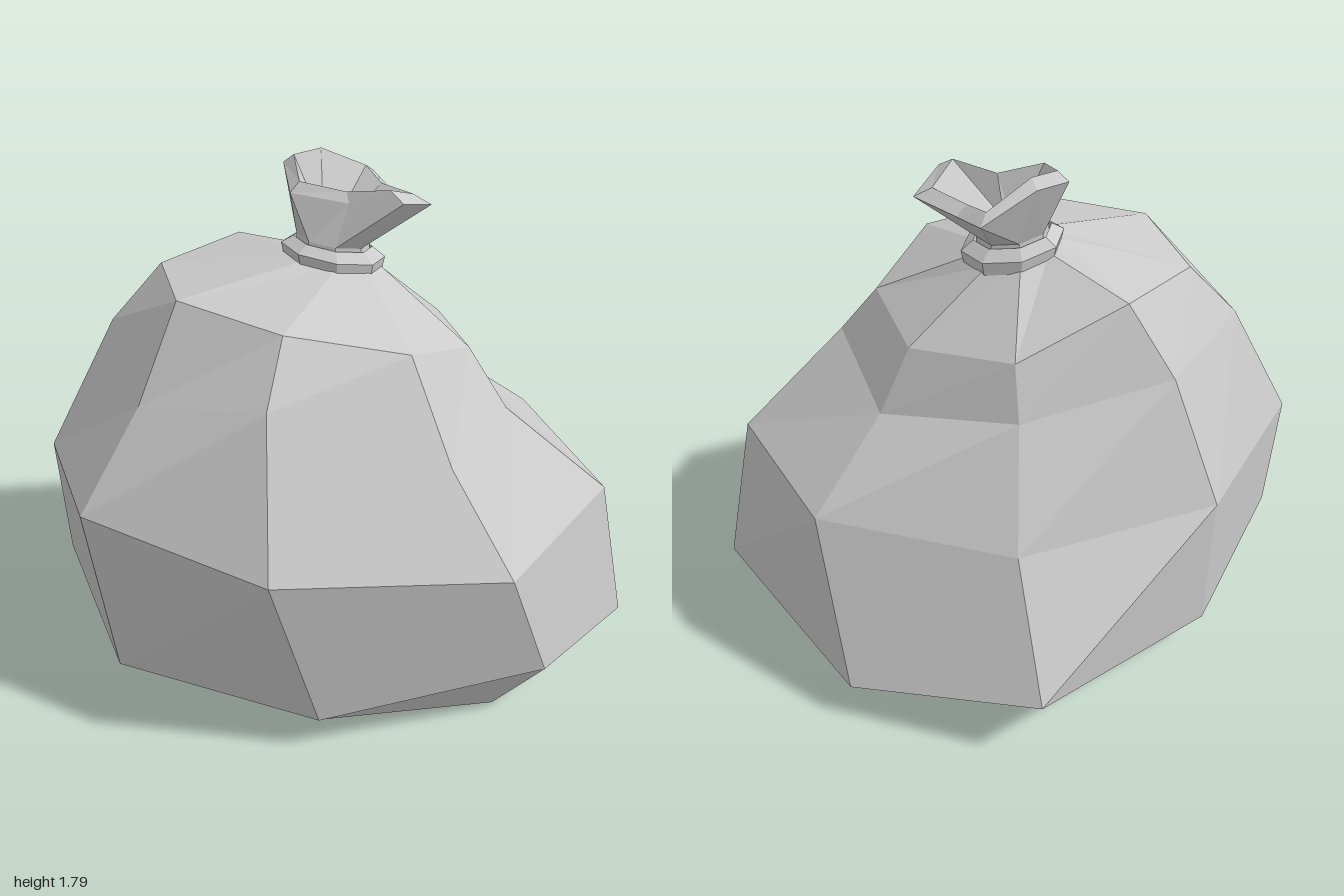
import * as THREE from 'three';

const SIDES = 8;
const material = new THREE.MeshStandardMaterial({ color: 0xcccccc, flatShading: true, side: THREE.DoubleSide });

// Skins rings of [x, y, z] points, listed from the front round towards +x.
function loft(name, rings, { capStart = false, capEnd = false, closed = false } = {}) {
  const pos = [];
  const tri = (a, b, c) => pos.push(...a, ...b, ...c);
  const centre = (ring) => [0, 1, 2].map((k) => ring.reduce((sum, p) => sum + p[k], 0) / ring.length);
  const count = closed ? rings.length : rings.length - 1;
  for (let r = 0; r < count; r++) {
    const a = rings[r], b = rings[(r + 1) % rings.length];
    for (let i = 0; i < SIDES; i++) {
      const j = (i + 1) % SIDES;
      tri(a[i], a[j], b[j]);
      tri(a[i], b[j], b[i]);
    }
  }
  const first = rings[0], last = rings[rings.length - 1];
  for (let i = 0; i < SIDES; i++) {
    const j = (i + 1) % SIDES;
    if (capStart) tri(first[j], first[i], centre(first));
    if (capEnd) tri(last[i], last[j], centre(last));
  }
  const geometry = new THREE.BufferGeometry();
  geometry.setAttribute('position', new THREE.Float32BufferAttribute(pos, 3));
  geometry.computeVertexNormals();
  const mesh = new THREE.Mesh(geometry, material);
  mesh.name = name;
  return mesh;
}

// Elliptical ring about the neck, tilted down towards +x and up towards the front.
function neckRing(y, rx, rz) {
  return Array.from({ length: SIDES }, (_, i) => {
    const a = (i / SIDES) * Math.PI * 2 + 0.15;
    const x = Math.sin(a) * rx, z = Math.cos(a) * rz;
    return [x - 0.035, y - 0.15 * x + 0.12 * z, z];
  });
}

export function createModel() {
  const group = new THREE.Group();
  group.name = 'tiedSack';

  // Irregular slumped body, from the flat base up to the shoulders
  const base = [
    [-0.02, 0, 0.58], [0.56, 0, 0.44], [0.78, 0, 0.07], [0.36, 0, -0.52],
    [-0.16, 0, -0.53], [-0.56, 0, -0.26], [-0.73, 0, 0.08], [-0.56, 0, 0.44],
  ];
  const lower = [
    [-0.01, 0.145, 0.72], [0.72, 0.26, 0.525], [1, 0.145, 0.07], [0.53, 0.145, -0.62],
    [-0.1, 0.265, -0.84], [-0.7, 0.145, -0.34], [-0.98, 0.3, 0.11], [-0.72, 0.145, 0.53],
  ];
  const belly = [
    [-0.14, 0.81, 0.84], [0.59, 0.71, 0.62], [0.89, 0.71, 0.105], [0.62, 0.71, -0.4],
    [-0.03, 0.71, -0.61], [-0.69, 0.725, -0.4], [-1, 0.75, 0.1], [-0.77, 0.835, 0.59],
  ];
  const upper = [
    [-0.17, 1.26, 0.58], [0.38, 1.04, 0.5], [0.54, 1.06, 0.18], [0.4, 0.98, -0.2],
    [-0.04, 1.08, -0.4], [-0.53, 1.18, -0.32], [-0.77, 1.21, 0.01], [-0.6, 1.14, 0.41],
  ];
  const shoulder = [
    [-0.14, 1.43, 0.415], [0.24, 1.355, 0.365], [0.41, 1.25, 0.13], [0.3, 1.21, -0.16],
    [-0.03, 1.26, -0.33], [-0.38, 1.42, -0.25], [-0.6, 1.41, -0.03], [-0.49, 1.44, 0.26],
  ];
  group.add(loft('sackBody', [base, lower, belly, upper, shoulder, neckRing(1.48, 0.14, 0.1)],
    { capStart: true }));

  // Tie wrapped round the neck
  group.add(loft('neckTie', [
    neckRing(1.455, 0.155, 0.115), neckRing(1.505, 0.165, 0.12),
    neckRing(1.535, 0.125, 0.09), neckRing(1.455, 0.115, 0.08),
  ], { closed: true }));

  // Gathered mouth: flares out to a crumpled rim, then folds back inside
  const rim = [
    [0.02, 1.69, 0.05], [0.19, 1.72, 0.1], [0.27, 1.67, -0.01], [0.14, 1.66, -0.12],
    [0.07, 1.68, -0.225], [-0.1, 1.76, -0.15], [-0.2, 1.755, -0.09], [-0.16, 1.72, 0.055],
  ];
  const lip = rim.map(([x, y, z]) => [x * 0.8 - 0.005, y + 0.032, z * 0.8 - 0.006]);
  const throat = neckRing(1.57, 0.03, 0.02);
  group.add(loft('gatheredMouth', [neckRing(1.48, 0.12, 0.09), neckRing(1.545, 0.115, 0.085), rim, lip, throat],
    { capEnd: true }));

  return group;
}
